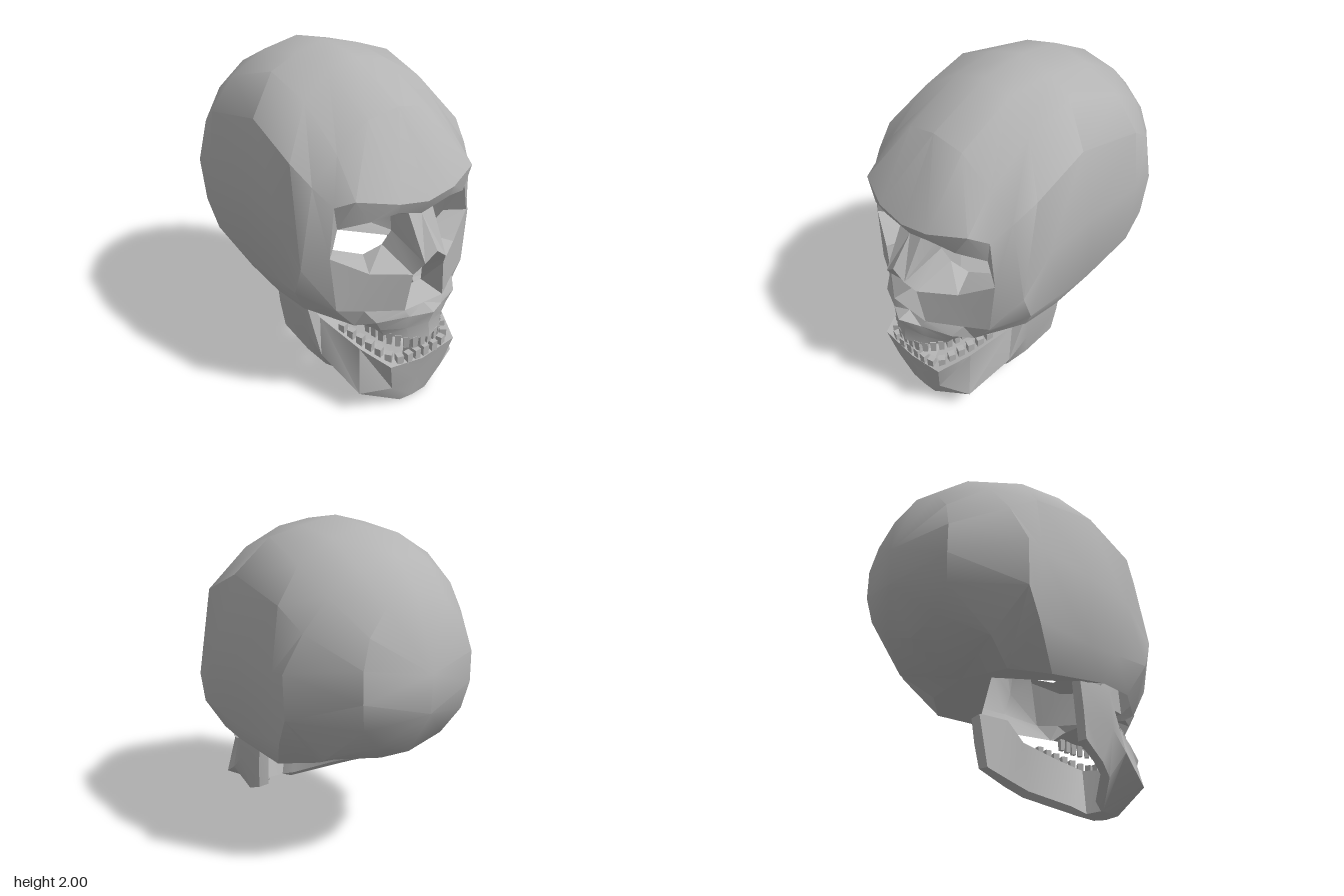
import * as THREE from 'three';
import { toCreasedNormals } from 'three/addons/utils/BufferGeometryUtils.js';

const bone = new THREE.MeshStandardMaterial({ color: 0xb4b4b4, side: THREE.DoubleSide });
bone.name = 'bone';

// Skins rows of [x, y, z] points on the +z half and mirrors the result to -z.
function loft(name, rows, crease = 0.5) {
  const pos = [];
  const same = (p, q) => p[0] === q[0] && p[1] === q[1] && p[2] === q[2];
  const tri = (a, b, c) => {
    if (same(a, b) || same(b, c) || same(a, c)) return;
    if (!a[2] && !b[2] && !c[2]) return;
    pos.push(...a, ...b, ...c);
    for (const p of [a, c, b]) pos.push(p[0], p[1], -p[2]);
  };
  for (let i = 0; i < rows.length - 1; i++) {
    for (let j = 0; j < rows[i].length - 1; j++) {
      const a = rows[i][j], b = rows[i][j + 1], c = rows[i + 1][j + 1], d = rows[i + 1][j];
      tri(a, b, c);
      tri(a, c, d);
    }
  }
  const g = new THREE.BufferGeometry();
  g.setAttribute('position', new THREE.Float32BufferAttribute(pos, 3));
  const mesh = new THREE.Mesh(toCreasedNormals(g, crease), bone);
  mesh.name = name;
  return mesh;
}

// Row of small tapered teeth spread evenly along a path and its mirror image.
function teeth(name, path, count, height, topRadius, bottomRadius) {
  const group = new THREE.Group();
  group.name = name;
  const curve = new THREE.CatmullRomCurve3(path.map(p => new THREE.Vector3(...p)));
  const g = new THREE.CylinderGeometry(topRadius, bottomRadius, height, 4);
  g.rotateY(Math.PI / 4);
  const shape = toCreasedNormals(g, 0.3);
  for (let i = 0; i < count; i++) {
    const t = (i + 0.5) / count;
    const p = curve.getPointAt(t), d = curve.getTangentAt(t);
    for (const s of [1, -1]) {
      const tooth = new THREE.Mesh(shape, bone);
      tooth.name = 'tooth';
      tooth.position.set(p.x, p.y, p.z * s);
      tooth.rotation.y = Math.atan2(d.x, d.z) * s;
      group.add(tooth);
    }
  }
  return group;
}

export function createModel() {
  const skull = new THREE.Group();
  skull.name = 'skull';

  // Brow points shared by the forehead and the eye sockets
  const brow = [[0.88, 1.33, 0], [0.87, 1.36, 0.19], [0.78, 1.4, 0.41], [0.69, 1.35, 0.48]];
  const rimOuter = [0.68, 1.05, 0.5];

  // Cranium: half sections from back to front, each from crown to base; the base is hollow
  const back = [
    [[-0.98, 1.25, 0], [-0.98, 1.25, 0], [-0.98, 1.25, 0], [-0.98, 1.25, 0], [-0.97, 1.03, 0], [-0.97, 1.03, 0], [-0.97, 1.03, 0], [-0.97, 1.03, 0]],
    [[-0.82, 1.67, 0], [-0.83, 1.6, 0.2], [-0.85, 1.46, 0.32], [-0.87, 1.3, 0.37], [-0.87, 1.12, 0.37], [-0.84, 0.96, 0.34], [-0.81, 0.83, 0.22], [-0.8, 0.76, 0]],
    [[-0.64, 1.83, 0], [-0.63, 1.78, 0.24], [-0.62, 1.64, 0.42], [-0.58, 1.46, 0.55], [-0.52, 1.24, 0.64], [-0.5, 0.97, 0.62], [-0.57, 0.72, 0.4], [-0.55, 0.63, 0]],
    [[-0.37, 1.96, 0], [-0.37, 1.91, 0.23], [-0.38, 1.78, 0.45], [-0.4, 1.58, 0.59], [-0.4, 1.22, 0.635], [-0.4, 0.8, 0.6], [-0.37, 0.61, 0.32], [-0.43, 0.62, 0]],
  ];
  const front = [
    [[-0.07, 2, 0], [-0.05, 1.95, 0.22], [0, 1.89, 0.41], [0.09, 1.68, 0.59], [0.02, 1.22, 0.63], [0, 0.77, 0.62], [-0.19, 0.58, 0.49], [-0.19, 0.7, 0]],
    ...[
      [[0.23, 1.96, 0], [0.25, 1.92, 0.2], [0.31, 1.8, 0.4], [0.45, 1.54, 0.59], [0.38, 1.16, 0.625], [0.25, 0.785, 0.62], [0.2, 0.62, 0.54]],
      [[0.61, 1.78, 0], [0.6, 1.74, 0.2], [0.59, 1.59, 0.39], [0.58, 1.44, 0.54], [0.58, 0.97, 0.62], [0.52, 0.8, 0.62], [0.45, 0.62, 0.52]],
      [...brow, rimOuter, [0.7, 0.72, 0.47], [0.72, 0.59, 0.36]],
    ].map(s => [...s, s[6]]),
  ];
  skull.add(loft('cranium', [...back, ...front], 0.62));

  // Eye sockets: brow underside, then a funnel open to the inside
  const nasion = [0.83, 1.24, 0], tip = [0.97, 1.07, 0], foot = [0.89, 0.7, 0.14];
  const rim = [[0.82, 1.26, 0.085], [0.85, 1.3, 0.18], [0.8, 1.27, 0.33], [0.69, 1.22, 0.46],
    rimOuter, [0.78, 0.94, 0.31], [0.91, 0.93, 0.11], [0.96, 1.01, 0.075], [0.82, 1.26, 0.085]];
  const inner = [[0.69, 1.2, 0.1], [0.66, 1.27, 0.17], [0.62, 1.24, 0.3], [0.58, 1.21, 0.42],
    [0.58, 1.03, 0.41], [0.62, 0.96, 0.23], [0.66, 1.01, 0.13], [0.69, 1.1, 0.09], [0.69, 1.2, 0.1]];
  skull.add(loft('browRidge', [
    [...brow, rimOuter],
    [nasion, rim[1], rim[2], rim[3], rimOuter],
  ], 0.3));
  skull.add(loft('glabella', [[nasion, rim[1]], [nasion, rim[0]]], 0.3));
  skull.add(loft('eyeSocket', [rim, inner], 0.4));

  // Broad nose bridge and open nasal cavity
  skull.add(loft('noseBridge', [[nasion, rim[0]], [tip, rim[7]]], 0.5));
  skull.add(loft('nasalCavity', [
    [tip, rim[7], rim[6], foot, [0.89, 0.7, 0]],
    [[0.86, 0.94, 0], [0.85, 0.92, 0.015], [0.82, 0.87, 0.035], [0.78, 0.77, 0.07], [0.78, 0.77, 0]],
  ], 0.3));

  // Cheekbones
  const cheek = [0.77, 0.7, 0.33], cheekOuter = [0.7, 0.72, 0.47];
  skull.add(loft('cheekbone', [[rim[6], rim[5], rimOuter], [foot, cheek, cheekOuter]], 0.5));

  // Upper jaw with palate
  skull.add(loft('upperJaw', [
    [[0.89, 0.7, 0], foot, cheek, cheekOuter],
    [[0.975, 0.68, 0], [0.91, 0.66, 0.12], [0.83, 0.64, 0.29], [0.72, 0.59, 0.36]],
    [[0.94, 0.59, 0], [0.9, 0.58, 0.13], [0.82, 0.57, 0.25], [0.7, 0.57, 0.31]],
    [[0.95, 0.5, 0], [0.91, 0.5, 0.11], [0.81, 0.52, 0.22], [0.66, 0.56, 0.27]],
    [[0.86, 0.53, 0], [0.86, 0.53, 0.05], [0.77, 0.55, 0.13], [0.65, 0.58, 0.18]],
    [[0.86, 0.59, 0], [0.84, 0.6, 0], [0.75, 0.6, 0], [0.65, 0.6, 0]],
  ], 0.5));
  skull.add(teeth('upperTeeth',
    [[0.915, 0.475, 0], [0.9, 0.475, 0.09], [0.8, 0.5, 0.2], [0.67, 0.525, 0.24]], 8, 0.075, 0.026, 0.021));

  // Lower jaw: closed sections from the hinge to the chin
  const jaw = [
    [[0.07, 0.64, 0.47], [0.1, 0.45, 0.465], [0.13, 0.29, 0.45], [0.14, 0.29, 0.38], [0.08, 0.64, 0.4]],
    [[0.35, 0.65, 0.46], [0.37, 0.4, 0.46], [0.32, 0.2, 0.41], [0.32, 0.22, 0.34], [0.33, 0.65, 0.39]],
    [[0.44, 0.5, 0.4], [0.51, 0.29, 0.44], [0.44, 0.14, 0.36], [0.43, 0.17, 0.3], [0.42, 0.5, 0.33]],
    [[0.72, 0.41, 0.32], [0.78, 0.14, 0.36], [0.68, 0.02, 0.11], [0.62, 0.07, 0.1], [0.67, 0.41, 0.24]],
    [[0.91, 0.36, 0.24], [0.87, 0.16, 0.19], [0.84, 0.01, 0.1], [0.72, 0.03, 0.06], [0.84, 0.36, 0.18]],
    [[0.91, 0.32, 0], [0.87, 0.16, 0], [0.84, 0, 0], [0.72, 0.03, 0], [0.84, 0.33, 0]],
  ].map(s => [...s, s[0]]);
  const hinge = jaw[0].map(() => [0.1, 0.46, 0.42]);
  skull.add(loft('lowerJaw', [hinge, ...jaw], 0.65));
  skull.add(teeth('lowerTeeth',
    [[0.885, 0.355, 0], [0.875, 0.37, 0.18], [0.72, 0.425, 0.27], [0.54, 0.475, 0.335]], 9, 0.065, 0.029, 0.027));

  return skull;
}
